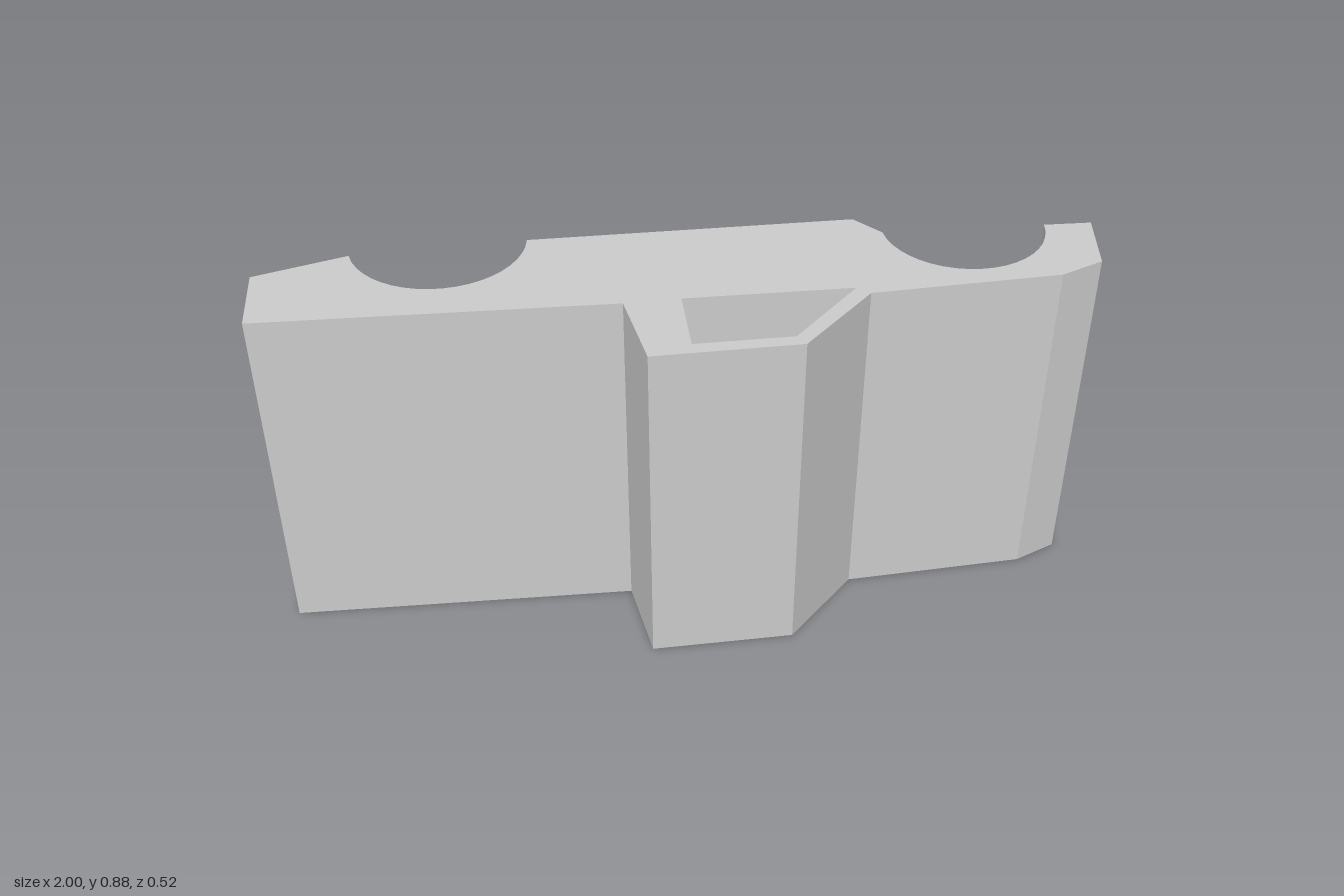
import * as THREE from 'three';
import { toCreasedNormals } from 'three/addons/utils/BufferGeometryUtils.js';

const HEIGHT = 0.876;

// Plan points are [x, z]; the shape is drawn with y = -z and then stood upright.
const plan = (points) => points.map(([x, z]) => new THREE.Vector2(x, -z));

export function createModel() {
  const group = new THREE.Group();
  group.name = 'profileBlock';

  const outline = new THREE.Shape();
  const lines = (points) => plan(points).forEach((p) => outline.lineTo(p.x, p.y));

  // back edge with two round channels
  outline.moveTo(-1, 0.173);
  lines([[-0.78, -0.24]]);
  outline.absarc(-0.57, 0.281, 0.212, Math.PI + 0.2, Math.PI * 2 - 0.1, false);
  lines([[-0.36, -0.261], [0.43, -0.261], [0.49, -0.189]]);
  outline.absarc(0.687, 0.196, 0.198, Math.PI + 0.04, Math.PI * 2 - 0.09, false);

  // right end, then the front edge with its protruding hollow rib
  lines([
    [0.886, -0.177], [1, -0.173], [0.969, 0.004], [0.861, 0.05],
    [0.405, 0.072], [0.224, 0.256], [-0.125, 0.261],
    [-0.158, 0.045], [-1, 0.022],
  ]);
  outline.closePath();

  // four-sided slot running through the rib, wound opposite to the outline
  outline.holes.push(new THREE.Path(plan([
    [-0.025, 0.225], [0.206, 0.224], [0.376, 0.046], [-0.025, 0.041],
  ])));

  const geometry = new THREE.ExtrudeGeometry(outline, {
    depth: HEIGHT, bevelEnabled: false, curveSegments: 10,
  });
  geometry.rotateX(-Math.PI / 2);

  const body = new THREE.Mesh(
    toCreasedNormals(geometry, 0.25),
    new THREE.MeshStandardMaterial({ color: 0xcccccc }),
  );
  body.name = 'channelledBody';
  group.add(body);
  return group;
}
